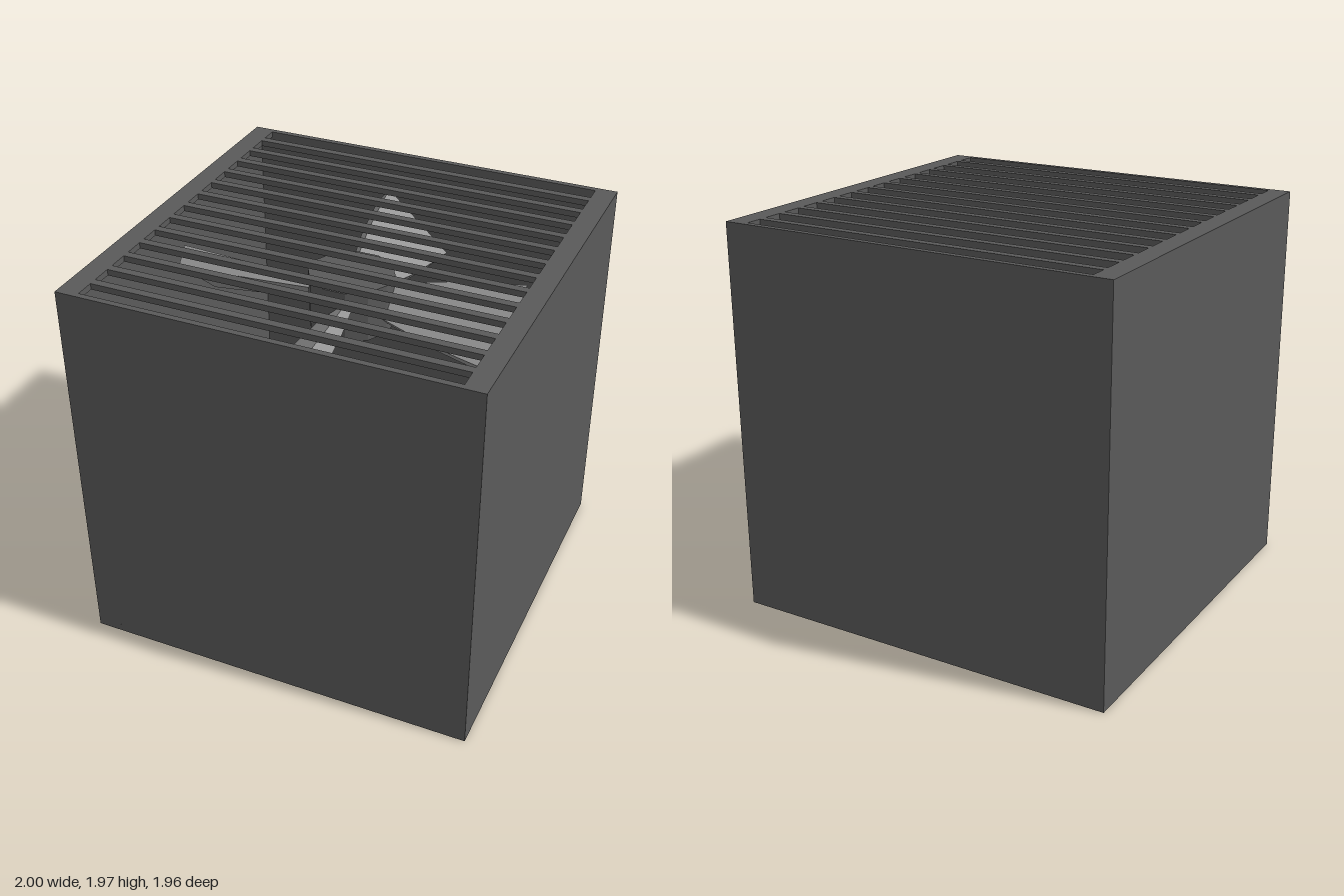
import * as THREE from 'three';

const casing = new THREE.MeshStandardMaterial({ color: 0x5a5a5a, flatShading: true });
const metal = new THREE.MeshStandardMaterial({ color: 0x959595, flatShading: true });

const W = 2, H = 1.97, D = 1.96, WALL = 0.04, LID = 0.03;

function box(parent, name, w, h, d, x, y, z) {
  const mesh = new THREE.Mesh(new THREE.BoxGeometry(w, h, d), casing);
  mesh.name = name;
  mesh.position.set(x, y, z);
  parent.add(mesh);
}

// Pitched, tapering blade running towards -z, lofted from four-sided sections
function bladeGeometry() {
  const sections = [[0.15, 0.36], [0.3, 0.54], [0.45, 0.71], [0.6, 0.84], [0.72, 0.93], [0.82, 1]];
  const corners = [[-0.145, 0.15], [0.185, -0.15], [0.12, -0.22], [-0.21, 0.07]];
  const positions = [], index = [];
  for (const [r, s] of sections) {
    for (const [x, y] of corners) positions.push(x * s, y * s, -r);
  }
  for (let i = 0; i < sections.length - 1; i++) {
    for (let j = 0; j < 4; j++) {
      const a = i * 4 + j, b = i * 4 + (j + 1) % 4;
      index.push(a, b, a + 4, b, b + 4, a + 4);
    }
  }
  const t = (sections.length - 1) * 4;
  index.push(t, t + 1, t + 2, t, t + 2, t + 3, 0, 2, 1, 0, 3, 2);
  const geometry = new THREE.BufferGeometry();
  geometry.setAttribute('position', new THREE.Float32BufferAttribute(positions, 3));
  geometry.setIndex(index);
  const flat = geometry.toNonIndexed();
  flat.computeVertexNormals();
  return flat;
}

export function createModel() {
  const model = new THREE.Group();
  model.name = 'ventUnit';

  // Hollow housing with wide rims along both sides
  const housing = new THREE.Group();
  housing.name = 'housing';
  box(housing, 'floor', W, WALL, D, 0, WALL / 2, 0);
  for (const s of [-1, 1]) {
    box(housing, 'sideWall', WALL, H - WALL, D, s * (W - WALL) / 2, (H + WALL) / 2, 0);
    box(housing, 'endWall', W - 2 * WALL, H - WALL, 0.03, 0, (H + WALL) / 2, s * (D / 2 - 0.015));
    box(housing, 'sideRim', 0.105 - WALL, LID, D - 0.06, s * 0.9275, H - LID / 2, 0);
  }
  model.add(housing);

  // Grille of parallel slats
  const grille = new THREE.Group();
  grille.name = 'grille';
  for (let i = 0; i < 13; i++) {
    box(grille, 'slat', 1.79, LID, 0.04, 0, H - LID / 2, -0.005 + (i - 6) * 0.14);
  }
  model.add(grille);

  // Four-bladed fan beneath the grille
  const fan = new THREE.Group();
  fan.name = 'fan';
  fan.position.set(-0.01, 1.68, 0);
  const hub = new THREE.Mesh(new THREE.CylinderGeometry(0.21, 0.21, 0.26, 12), casing);
  hub.name = 'hub';
  hub.position.y = -0.02;
  hub.rotation.y = Math.PI / 12;
  fan.add(hub);
  const geometry = bladeGeometry();
  for (let i = 0; i < 4; i++) {
    const blade = new THREE.Mesh(geometry, metal);
    blade.name = 'blade';
    blade.rotation.y = i * Math.PI / 2;
    fan.add(blade);
  }
  model.add(fan);

  return model;
}
